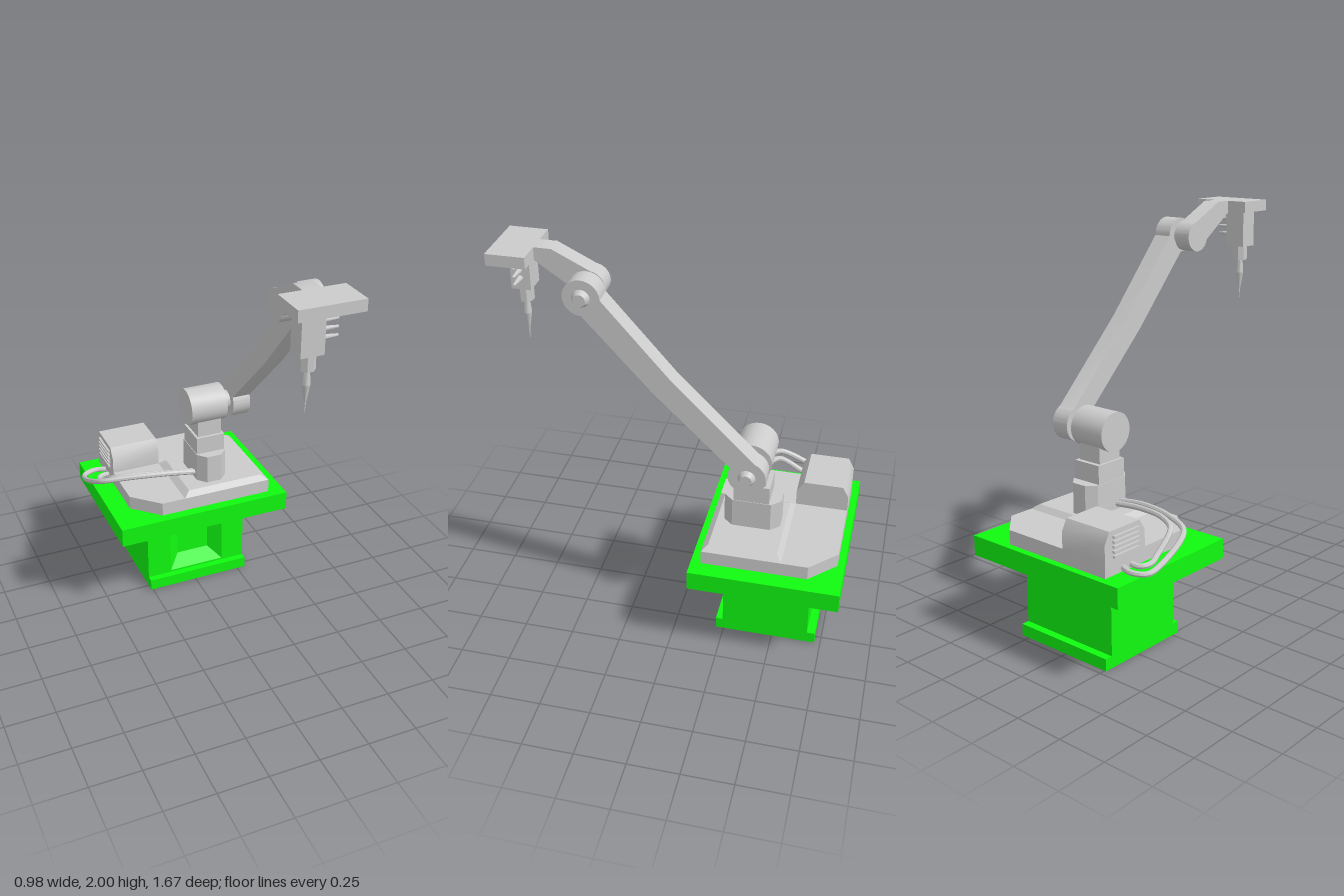
import * as THREE from 'three';
import { toCreasedNormals } from 'three/addons/utils/BufferGeometryUtils.js';

const grey = new THREE.MeshStandardMaterial({ color: 0xcccccc });
const green = new THREE.MeshStandardMaterial({ color: 0x10fa10, side: THREE.DoubleSide });

export function createModel() {
  const root = new THREE.Group();

  const add = (name, geo, mat = grey) => {
    const mesh = new THREE.Mesh(toCreasedNormals(geo, 0.6), mat);
    mesh.name = name;
    root.add(mesh);
    return mesh;
  };
  // Box given by its limits on each axis
  const box = (name, x0, x1, y0, y1, z0, z1, mat) =>
    add(name, new THREE.BoxGeometry(x1 - x0, y1 - y0, z1 - z0)
      .translate((x0 + x1) / 2, (y0 + y1) / 2, (z0 + z1) / 2), mat);
  // Cylinder or cone running along x
  const cylX = (name, x0, x1, r0, r1, y, z, sides = 32) =>
    add(name, new THREE.CylinderGeometry(r1, r0, x1 - x0, sides)
      .rotateZ(-Math.PI / 2).translate((x0 + x1) / 2, y, z));
  // Cylinder or cone running along y
  const cylY = (name, y0, y1, r0, r1, x, z, sides) =>
    add(name, new THREE.CylinderGeometry(r1, r0, y1 - y0, sides, 1)
      .rotateY(Math.PI / sides).translate(x, (y0 + y1) / 2, z));
  const extrude = (shape, depth) =>
    new THREE.ExtrudeGeometry(shape, { depth, bevelEnabled: false, curveSegments: 24 });
  const polygon = (pts) => new THREE.Shape(pts.map(([a, z]) => new THREE.Vector2(a, z)));
  // Plan outline [x, z] raised along y
  const plan = (name, pts, y0, y1) =>
    add(name, extrude(polygon(pts.map(([x, z]) => [x, -z])), y1 - y0)
      .rotateX(-Math.PI / 2).translate(0, y0, 0));
  // Side profile in (-z, y) extended along x
  const side = (name, shape, x0, x1) =>
    add(name, extrude(shape, x1 - x0).rotateY(Math.PI / 2).translate(x0, 0, 0));
  // Tapered walls between two four-point loops, closed by the second loop
  const taper = (a, b) => {
    const quads = [b];
    for (let i = 0; i < 4; i++) {
      const j = (i + 1) % 4;
      quads.push([a[i], a[j], b[j], b[i]]);
    }
    const pos = quads.flatMap((q) => [q[0], q[1], q[2], q[0], q[2], q[3]]).flat();
    const geo = new THREE.BufferGeometry();
    geo.setAttribute('position', new THREE.Float32BufferAttribute(pos, 3));
    geo.computeVertexNormals();
    return geo;
  };
  const rect = (a0, a1, b0, b1) => [[a0, b0], [a1, b0], [a1, b1], [a0, b1]];

  // Stand: hollow pedestal, open underneath, with feet and a table top
  const t = 0.012;
  box('tableTop', -0.445, 0.485, 0.405, 0.505, -0.835, -0.1, green);
  box('pedestalSide', -0.26, -0.26 + t, 0, 0.405, -0.68, -0.245, green);
  box('pedestalSide', 0.295 - t, 0.295, 0, 0.405, -0.68, -0.245, green);
  box('pedestalBack', -0.26 + t, 0.295 - t, 0, 0.405, -0.68, -0.68 + t, green);
  box('frontFoot', -0.26, 0.295, 0, 0.06, -0.245, -0.21, green);
  box('backFoot', -0.26, 0.295, 0, 0.06, -0.72, -0.68, green);

  // Pedestal front with its tapered recess
  const outer = rect(-0.13, 0.17, 0.07, 0.4);
  const inner = rect(-0.07, 0.105, 0.135, 0.34);
  const front = polygon(rect(-0.26 + t, 0.295 - t, 0, 0.405));
  front.holes.push(polygon(outer));
  add('pedestalFront', extrude(front, t).translate(0, 0, -0.245 - t), green);
  add('frontRecess', taper(outer.map(([x, y]) => [x, y, -0.245]),
    inner.map(([x, y]) => [x, y, -0.3])), green);

  // Base plate with two cut corners, and the bevelled pad on it
  plan('basePlate', [[-0.34, -0.8], [0.27, -0.8], [0.4, -0.67], [0.4, -0.15],
    [-0.205, -0.15], [-0.34, -0.28]], 0.505, 0.577);
  add('bevelledPad', taper(
    rect(-0.08, 0.4, 0.15, 0.54).map(([x, z]) => [x, 0.577, -z]),
    rect(-0.045, 0.365, 0.18, 0.515).map(([x, z]) => [x, 0.602, -z])));

  // Control box with vents on its side
  side('controlBox', polygon([[0.54, 0.57], [0.8, 0.57], [0.8, 0.66], [0.77, 0.715],
    [0.575, 0.715], [0.54, 0.66]]), -0.34, -0.08);
  for (let i = 0; i < 5; i++) {
    const y = 0.588 + i * 0.023;
    box('vent', -0.352, -0.338, y, y + 0.01, -0.75, -0.585);
  }

  // Cables from the control box to the column
  const cable = (pts) => {
    const curve = new THREE.CatmullRomCurve3(pts.map((p) => new THREE.Vector3(...p)));
    add('cable', new THREE.TubeGeometry(curve, 48, 0.014, 8));
  };
  cable([[-0.33, 0.522, -0.68], [-0.4, 0.52, -0.7], [-0.465, 0.52, -0.67], [-0.475, 0.535, -0.6],
    [-0.45, 0.63, -0.4], [-0.32, 0.655, -0.34], [-0.12, 0.655, -0.3], [0.06, 0.632, -0.29]]);
  cable([[-0.33, 0.522, -0.63], [-0.385, 0.52, -0.625], [-0.41, 0.525, -0.58], [-0.405, 0.55, -0.53],
    [-0.38, 0.63, -0.41], [-0.3, 0.65, -0.365], [-0.12, 0.645, -0.325], [0.06, 0.625, -0.315]]);

  // Column and neck
  plan('columnFoot', [[0.073, -0.495], [0.152, -0.495], [0.193, -0.45], [0.193, -0.26],
    [0.152, -0.215], [0.073, -0.215], [0.032, -0.26], [0.032, -0.45]], 0.595, 0.755);
  box('column', 0.035, 0.19, 0.6, 0.848, -0.44, -0.265);
  box('neck', 0.048, 0.177, 0.848, 0.99, -0.418, -0.28);

  // Shoulder and elbow joints
  const joint = (y, z, x0) => {
    cylX('jointAxle', x0, 0.245, 0.05, 0.05, y, z);
    cylX('jointCap', 0.335, 0.36, 0.042, 0.028, y, z);
  };
  cylX('shoulderMotor', 0.007, 0.205, 0.097, 0.097, 1, -0.35, 40);
  joint(1, -0.35, 0.2);
  joint(1.838, 0.405, 0.21);

  // Main arm: slightly bent bar between two round ends
  const rad = THREE.MathUtils.degToRad;
  const arm = new THREE.Shape();
  arm.absarc(0.35, 1, 0.09, rad(150), rad(425), false);
  arm.lineTo(0, 1.47);
  arm.absarc(-0.405, 1.838, 0.086, 0, rad(268), false);
  arm.lineTo(-0.09, 1.4);
  arm.closePath();
  side('mainArm', arm, 0.24, 0.335);

  // Forearm: round at the elbow, levelling out at the tool plate
  const forearm = new THREE.Shape();
  forearm.absarc(-0.405, 1.838, 0.075, rad(195), rad(440), false);
  forearm.lineTo(-0.57, 2);
  forearm.lineTo(-0.66, 2);
  forearm.lineTo(-0.66, 1.945);
  forearm.closePath();
  side('forearm', forearm, 0.125, 0.215);

  // Tool head with side pegs and needle
  box('toolPlate', 0.015, 0.328, 1.945, 2, 0.652, 0.835);
  box('toolBody', 0.058, 0.168, 1.763, 1.945, 0.697, 0.79);
  for (const y of [1.897, 1.858, 1.82]) cylX('toolPeg', 0.165, 0.25, 0.014, 0.006, y, 0.745, 12);
  cylY('toolCollar', 1.69, 1.765, 0.038, 0.038, 0.112, 0.745, 8);
  cylY('needleShank', 1.62, 1.69, 0.02, 0.015, 0.112, 0.745, 12);
  cylY('needleTaper', 1.535, 1.62, 0.005, 0.02, 0.112, 0.745, 12);
  cylY('needleTip', 1.485, 1.535, 0.001, 0.005, 0.112, 0.745, 8);

  return root;
}
